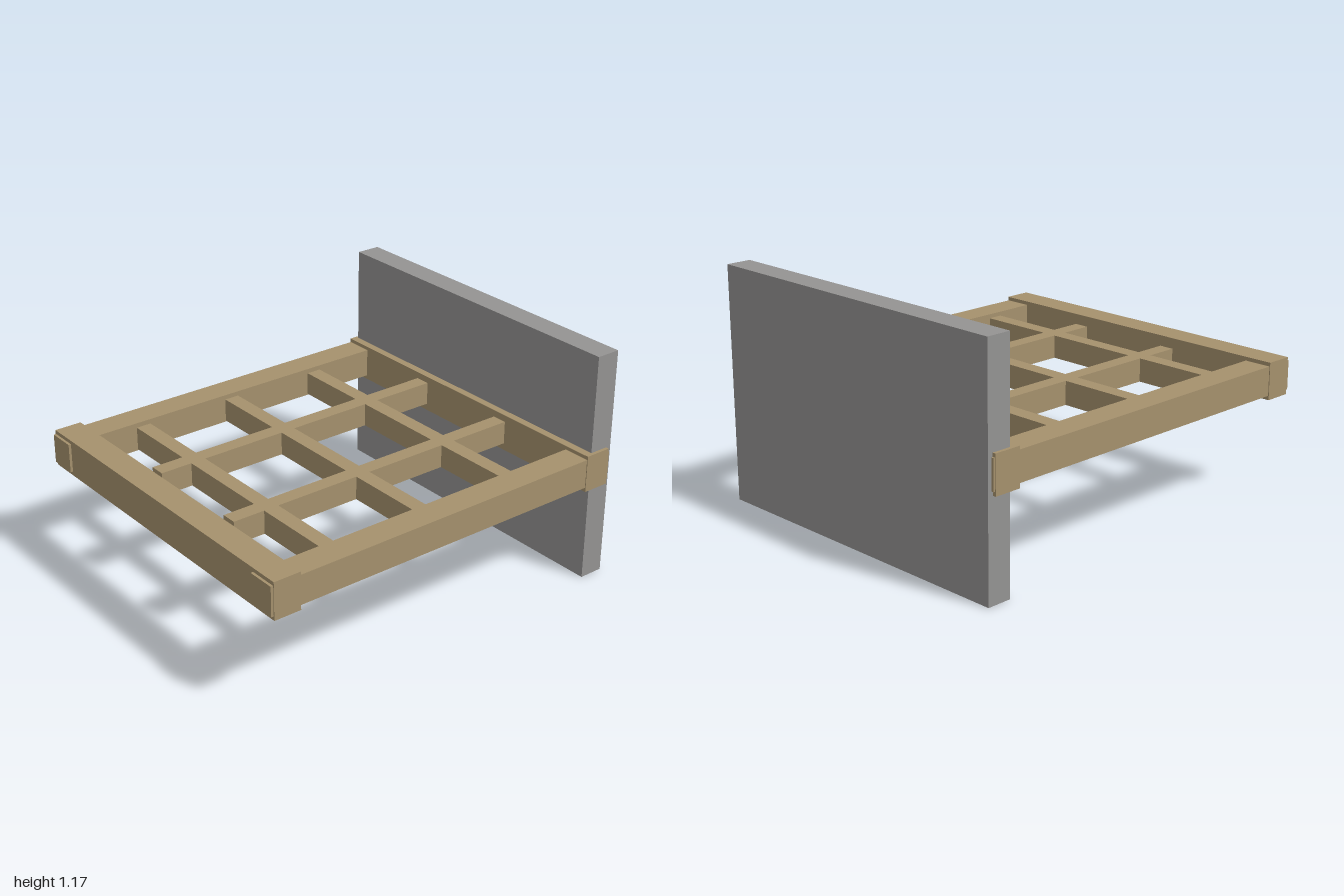
import * as THREE from 'three';

export function createModel() {
  const model = new THREE.Group();
  model.name = 'bedFrame';

  const wood = new THREE.MeshStandardMaterial({ color: 0xa5916d });
  wood.name = 'wood';
  const grey = new THREE.MeshStandardMaterial({ color: 0x949392 });
  grey.name = 'grey panel';

  // Box given by its lower and upper limits on each axis
  function box(name, material, [x0, x1], [y0, y1], [z0, z1]) {
    const mesh = new THREE.Mesh(new THREE.BoxGeometry(x1 - x0, y1 - y0, z1 - z0), material);
    mesh.position.set((x0 + x1) / 2, (y0 + y1) / 2, (z0 + z1) / 2);
    mesh.name = name;
    model.add(mesh);
  }

  // Upright headboard
  box('headboard', grey, [-0.873, 0.873], [0, 1.17], [-1, -0.874]);

  // End beams
  const beamY = [0.491, 0.678];
  box('frontBeam', wood, [-0.89, 0.89], beamY, [0.848, 0.987]);
  box('backBeam', wood, [-0.89, 0.89], beamY, [-0.973, -0.834]);

  // Side rails, passing just through both beams
  const railY = [0.512, 0.659];
  box('leftRail', wood, [0.745, 0.886], railY, [-0.981, 1]);
  box('rightRail', wood, [-0.886, -0.745], railY, [-0.981, 1]);

  // Lengthwise and crosswise slats, flush with each other
  const slatY = [0.526, 0.644];
  for (const x of [-0.291, 0.289]) {
    box('longSlat', wood, [x - 0.039, x + 0.039], slatY, [-0.86, 0.793]);
  }
  for (const z of [-0.459, 0.064, 0.589]) {
    box('crossSlat', wood, [-0.73, 0.727], slatY, [z - 0.039, z + 0.039]);
  }

  return model;
}
